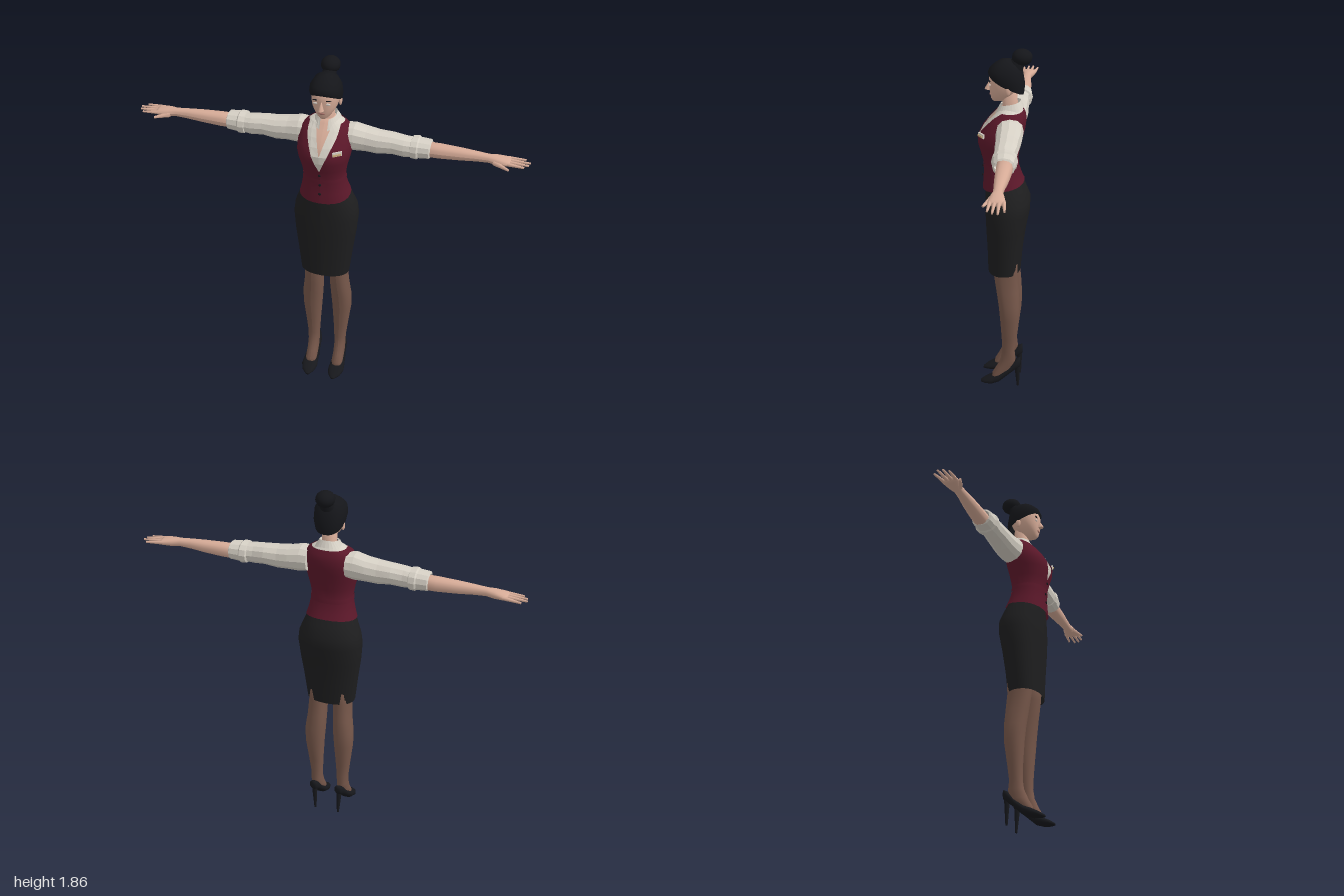
import * as THREE from 'three';

const mat = (name, color, extra = {}) => new THREE.MeshStandardMaterial({ name, color, side: THREE.DoubleSide, ...extra });
const E = 0.88; // squareness of the cross-sections

// Skin a stack of oval sections: [y, halfWidth, zFront, zBack, centreX, tilt].
// gap(y) is the half-width of an opening left at the front.
function loft(rows, { seg = 24, gap = null, cap = true } = {}) {
  const list = rows.map(r => [...r]);
  if (cap && !gap) {
    const flat = r => { const m = (r[2] + r[3]) / 2; return [r[0], 0, m, m, r[4], r[5]]; };
    list.unshift(flat(rows[0]));
    list.push(flat(rows[rows.length - 1]));
  }
  const pos = [], idx = [], pw = v => Math.sign(v) * Math.abs(v) ** E;
  for (const [y, rx, zf, zb, cx = 0, tilt = 0] of list) {
    const w = gap ? Math.min(gap(y) / rx, 0.97) : 0;
    const g = Math.asin(w ** (1 / E));
    for (let j = 0; j <= seg; j++) {
      const t = g + (2 * Math.PI - 2 * g) * j / seg;
      pos.push(cx + rx * pw(Math.sin(t)), y + tilt * Math.cos(t), (zf + zb) / 2 + (zf - zb) / 2 * pw(Math.cos(t)));
    }
  }
  for (let i = 0; i < list.length - 1; i++) for (let j = 0; j < seg; j++) {
    const a = i * (seg + 1) + j, c = a + seg + 1;
    idx.push(a, a + 1, c, a + 1, c + 1, c);
  }
  const geo = new THREE.BufferGeometry();
  geo.setAttribute('position', new THREE.Float32BufferAttribute(pos, 3));
  geo.setIndex(idx);
  geo.computeVertexNormals();
  return geo;
}

// Tapered round bar between two points
function bar(a, b, r0, r1, seg = 8) {
  const A = new THREE.Vector3(...a), B = new THREE.Vector3(...b), d = B.clone().sub(A);
  const geo = new THREE.CylinderGeometry(r1, r0, d.length(), seg);
  geo.applyQuaternion(new THREE.Quaternion().setFromUnitVectors(new THREE.Vector3(0, 1, 0), d.normalize()));
  return geo.translate(...A.add(B).multiplyScalar(0.5).toArray());
}

function ball(x, y, z, rx, ry, rz, seg = 14) {
  return new THREE.SphereGeometry(1, seg, 10).scale(rx, ry, rz).translate(x, y, z);
}

function mirrored(geo) {
  const m = geo.clone().scale(-1, 1, 1), ix = m.index;
  for (let i = 0; i < ix.count; i += 3) {
    const b = ix.getX(i + 1);
    ix.setX(i + 1, ix.getX(i + 2));
    ix.setX(i + 2, b);
  }
  m.computeVertexNormals();
  return m;
}

// Front surface depth of a stack of sections
function frontZ(rows, x, y) {
  let i = 0;
  while (i < rows.length - 2 && rows[i + 1][0] < y) i++;
  const k = (y - rows[i][0]) / (rows[i + 1][0] - rows[i][0]);
  const [, rx, zf, zb] = rows[i].map((v, n) => v + (rows[i + 1][n] - v) * k);
  const s = Math.min(1, Math.abs(x) / rx) ** (1 / E);
  return (zf + zb) / 2 + (zf - zb) / 2 * Math.sqrt(1 - s * s) ** E;
}

const inset = (rows, d) => rows.map(([y, rx, zf, zb, ...r]) => [y, rx - d, zf - d, zb + d, ...r]);

export function createModel() {
  const root = new THREE.Group();
  root.name = 'woman';
  const skin = mat('skin', 0xd6ab97), shirt = mat('shirt cloth', 0xd6d0c5, { flatShading: true });
  const vest = mat('vest cloth', 0x5c182a), skirt = mat('skirt cloth', 0x1e1e1f), hair = mat('hair', 0x15161a);
  const hose = mat('stockings', 0x76574a), shoe = mat('shoe leather', 0x17181c);
  const eye = mat('eye', 0xd9cdc4), lip = mat('lips', 0xa8756b), gold = mat('tag gold', 0xc9ad7c);
  const add = (name, geo, m) => {
    const mesh = new THREE.Mesh(geo, m);
    mesh.name = name;
    root.add(mesh);
  };
  const pair = (name, geo, m) => {
    add(name + 'Left', geo, m);
    add(name + 'Right', mirrored(geo), m);
  };

  // Torso: skin, shirt and vest are nested layers with V openings
  const torso = [
    [1.16, 0.13, 0.113, -0.097, 0, -0.017], [1.2, 0.118, 0.11, -0.084, 0, -0.005], [1.27, 0.104, 0.105, -0.062],
    [1.33, 0.114, 0.12, -0.07], [1.38, 0.128, 0.135, -0.08], [1.42, 0.136, 0.137, -0.09], [1.46, 0.135, 0.118, -0.1],
    [1.5, 0.127, 0.09, -0.105], [1.53, 0.12, 0.063, -0.1], [1.555, 0.088, 0.04, -0.09], [1.575, 0.052, 0.025, -0.075]];
  add('chest', loft(inset(torso.slice(4), 0.012)), skin);
  add('shirtBody', loft(inset(torso.slice(2), 0.006), { gap: y => Math.min(0.038, Math.max(0, (y - 1.42) * 0.3)) }), shirt);
  add('vest', loft(torso.slice(0, -1), { gap: y => Math.min(0.078, Math.max(0, (y - 1.33) * 0.42)) }), vest);
  add('vestBand', loft([[1.255, 0.11, 0.109, -0.069], [1.28, 0.108, 0.11, -0.067]], { cap: false }), vest);
  for (const y of [1.31, 1.25, 1.2]) add('vestButton', ball(0, y, frontZ(torso, 0, y) + 0.005, 0.007, 0.007, 0.004, 8), shoe);
  const tagZ = frontZ(torso, 0.088, 1.44);
  add('pocketSquare', new THREE.BoxGeometry(0.05, 0.022, 0.008).rotateY(0.65).translate(0.088, 1.443, tagZ + 0.004), shirt);
  add('nameTag', new THREE.BoxGeometry(0.042, 0.01, 0.008).rotateY(0.65).translate(0.088, 1.44, tagZ + 0.009), gold);
  add('collar', loft([[1.535, 0.078, 0.068, -0.092, 0, -0.035], [1.59, 0.048, 0.028, -0.076, 0, -0.012], [1.575, 0.042, 0.022, -0.07]],
    { gap: () => 0.02 }), shirt);

  // Skirt
  add('skirt', loft([
    [0.68, 0.126, 0.087, -0.08], [0.8, 0.141, 0.09, -0.09], [0.92, 0.158, 0.096, -0.107], [1.02, 0.167, 0.1, -0.126],
    [1.08, 0.159, 0.1, -0.128], [1.14, 0.135, 0.1, -0.105], [1.2, 0.112, 0.095, -0.077]], { cap: false }), skirt);

  // Legs and heeled shoes
  pair('leg', loft([
    [0.05, 0.025, 0.065, 0.03, 0.073], [0.08, 0.03, 0.062, 0, 0.073], [0.12, 0.029, 0.04, -0.05, 0.073],
    [0.17, 0.029, 0.018, -0.062, 0.073], [0.22, 0.031, 0.01, -0.056, 0.073], [0.3, 0.038, 0.012, -0.065, 0.076],
    [0.42, 0.05, 0.02, -0.08, 0.08], [0.5, 0.053, 0.028, -0.082, 0.077], [0.58, 0.049, 0.04, -0.078, 0.07],
    [0.68, 0.046, 0.055, -0.07, 0.066], [0.78, 0.05, 0.06, -0.075, 0.066]]), hose);
  // Shoe sections run heel to toe: [z, halfWidth, -sole, -top, x]
  pair('shoe', loft([
    [-0.086, 0.018, -0.125, -0.178, 0.07], [-0.062, 0.031, -0.108, -0.165, 0.071], [-0.02, 0.033, -0.074, -0.118, 0.073],
    [0.025, 0.038, -0.034, -0.084, 0.075], [0.065, 0.043, -0.021, -0.064, 0.075], [0.1, 0.032, -0.018, -0.046, 0.073],
    [0.125, 0.01, -0.018, -0.03, 0.07]], { seg: 16 }).rotateX(Math.PI / 2), shoe);
  pair('shoeHeel', bar([0.065, 0, -0.074], [0.07, 0.135, -0.07], 0.006, 0.016), shoe);

  // Arms, built upright along their length and turned sideways
  const arm = (rows, opt) => loft(rows, opt).rotateZ(-Math.PI / 2).translate(0, 1.458, 0);
  pair('sleeve', arm([
    [0.1, 0.062, 0.035, -0.1, -0.018], [0.14, 0.068, 0.034, -0.1, -0.016], [0.2, 0.06, 0.028, -0.1, -0.01],
    [0.26, 0.058, 0.026, -0.094, -0.004], [0.33, 0.051, 0.02, -0.094, -0.006], [0.39, 0.051, 0.02, -0.087, 0],
    [0.44, 0.045, 0.014, -0.09, 0]], { seg: 12 }), shirt);
  pair('cuff', arm([
    [0.42, 0.04, 0.01, -0.09], [0.425, 0.053, 0.022, -0.1], [0.455, 0.055, 0.024, -0.102], [0.462, 0.049, 0.016, -0.096],
    [0.515, 0.045, 0.012, -0.094], [0.52, 0.036, 0.002, -0.085]], { seg: 12, cap: false }), shirt);
  pair('forearm', arm([
    [0.46, 0.036, -0.005, -0.086, 0.006], [0.56, 0.036, -0.007, -0.084, 0.006], [0.66, 0.031, -0.012, -0.078, 0.005],
    [0.74, 0.025, -0.018, -0.07, 0.004], [0.8, 0.021, -0.021, -0.066, 0.005], [0.84, 0.022, -0.012, -0.078, 0.007],
    [0.89, 0.016, -0.006, -0.088, 0.009], [0.905, 0.01, -0.01, -0.085, 0.01]], { seg: 16 }), skin);
  const tips = [[0.975, -0.014], [0.995, -0.038], [1, -0.063], [0.975, -0.09]];
  tips.forEach(([x, z], i) => pair('finger', bar([0.885, 1.45, -0.018 - i * 0.02], [x, 1.445, z], 0.0105, 0.005), skin));
  pair('thumb', bar([0.83, 1.445, -0.022], [0.905, 1.435, 0.012], 0.014, 0.006), skin);

  // Neck, head and face
  add('neck', loft([[1.5, 0.05, 0.04, -0.07], [1.56, 0.036, 0.012, -0.062], [1.65, 0.036, 0.02, -0.06]]), skin);
  const head = [
    [1.598, 0.016, 0.062, 0.01], [1.612, 0.033, 0.07, -0.01], [1.635, 0.05, 0.074, -0.04], [1.66, 0.062, 0.078, -0.06],
    [1.69, 0.068, 0.078, -0.075], [1.72, 0.07, 0.08, -0.08], [1.76, 0.064, 0.064, -0.078], [1.79, 0.038, 0.03, -0.055]];
  add('head', loft(head), skin);
  add('nose', new THREE.ConeGeometry(0.014, 0.05, 6).scale(1, 1, 1.4).rotateX(-0.15).translate(0, 1.678, 0.08), skin);
  add('lips', ball(0, 1.633, frontZ(head, 0, 1.633), 0.016, 0.006, 0.004), lip);
  pair('eye', ball(0.03, 1.686, frontZ(head, 0.03, 1.686), 0.014, 0.006, 0.004), eye);
  pair('eyebrow', ball(0.031, 1.705, frontZ(head, 0.031, 1.705), 0.018, 0.003, 0.004), hair);
  pair('ear', ball(0.068, 1.668, -0.018, 0.008, 0.024, 0.014), skin);

  // Swept-back hair and bun
  add('hairCap', loft([
    [1.684, 0.074, 0.08, -0.092, 0, 0.046], [1.715, 0.08, 0.085, -0.097, 0, 0.03], [1.755, 0.076, 0.077, -0.087, 0, 0.01],
    [1.788, 0.056, 0.052, -0.066], [1.806, 0.03, 0.026, -0.036], [1.811, 0, 0, 0]], { cap: false }), hair);
  add('hairBun', ball(0, 1.822, -0.082, 0.048, 0.041, 0.051), hair);
  add('bunTie', bar([0, 1.775, -0.05], [0, 1.81, -0.07], 0.04, 0.03, 12), hair);
  return root;
}
